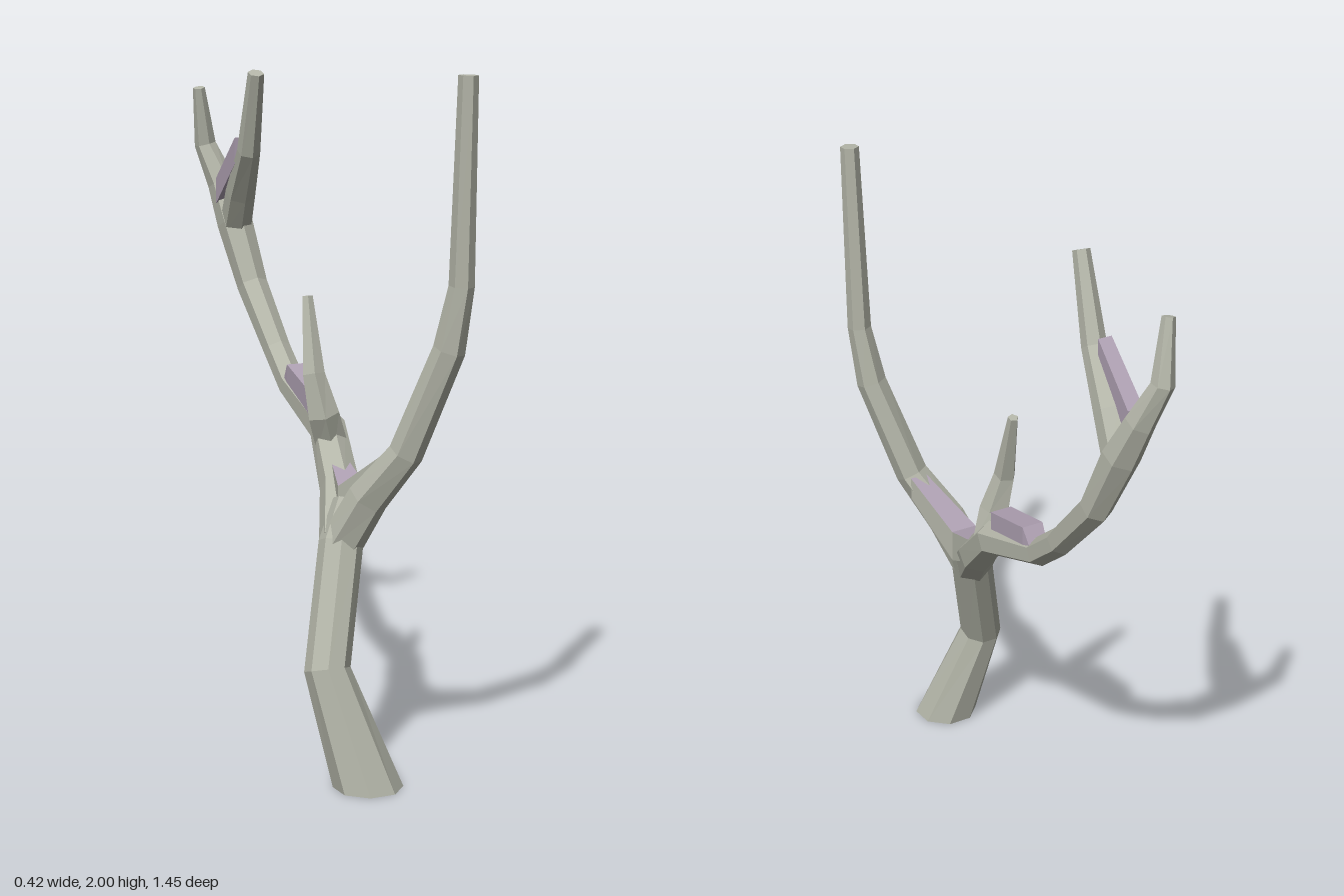
import * as THREE from 'three';

const bark = new THREE.MeshStandardMaterial({ color: 0xb3b5a8, side: THREE.DoubleSide, flatShading: true });
bark.name = 'bark grey';
const mauve = new THREE.MeshStandardMaterial({ color: 0xb0a2b4, side: THREE.DoubleSide, flatShading: true });
mauve.name = 'moss mauve';

// Limb lofted through rings; each point is [x, y, z, radius]
function limb(name, pts, sides, flatBase = false) {
  const P = pts.map(p => new THREE.Vector3(p[0], p[1], p[2]));
  const pos = [], idx = [];
  P.forEach((p, i) => {
    const a = P[Math.max(i - 1, 0)], b = P[Math.min(i + 1, P.length - 1)];
    const t = b.clone().sub(a).normalize();
    if (flatBase && i === 0) t.set(0, 1, 0);
    const u = new THREE.Vector3(1, 0, 0).addScaledVector(t, -t.x).normalize();
    const v = u.clone().cross(t);
    for (let k = 0; k < sides; k++) {
      const ang = ((k + 0.5) / sides) * Math.PI * 2;
      const q = p.clone()
        .addScaledVector(u, Math.cos(ang) * pts[i][3])
        .addScaledVector(v, Math.sin(ang) * pts[i][3]);
      pos.push(q.x, q.y, q.z);
    }
  });
  for (let i = 0; i < P.length - 1; i++) {
    for (let k = 0; k < sides; k++) {
      const a = i * sides + k, b = i * sides + (k + 1) % sides;
      idx.push(a, a + sides, b, b, a + sides, b + sides);
    }
  }
  // End caps
  const last = (P.length - 1) * sides;
  for (let k = 1; k < sides - 1; k++) {
    idx.push(0, k, k + 1, last, last + k + 1, last + k);
  }
  return build(name, pos, idx, bark);
}

// Ridge filling a crotch; each row is [x, y, z, halfWidth, depth]
function web(name, rows, sideMaterial) {
  const pos = [], top = [], side = [];
  for (const [x, y, z, w, d] of rows) {
    pos.push(x - w, y, z, x + w, y, z, x + w, y - d, z, x - w, y - d, z);
  }
  for (let i = 0; i < rows.length - 1; i++) {
    const a = i * 4, quad = (list, m, n) =>
      list.push(a + m, a + n, a + m + 4, a + n, a + n + 4, a + m + 4);
    quad(top, 0, 1);
    quad(side, 1, 2);
    quad(side, 2, 3);
    quad(side, 3, 0);
  }
  const e = (rows.length - 1) * 4;
  side.push(0, 2, 1, 0, 3, 2, e, e + 1, e + 2, e, e + 2, e + 3);
  const mesh = build(name, pos, [...top, ...side], [mauve, sideMaterial]);
  mesh.geometry.addGroup(0, top.length, 0);
  mesh.geometry.addGroup(top.length, side.length, 1);
  return mesh;
}

function build(name, pos, idx, material) {
  const g = new THREE.BufferGeometry();
  g.setAttribute('position', new THREE.Float32BufferAttribute(pos, 3));
  g.setIndex(idx);
  const flat = g.toNonIndexed();
  flat.computeVertexNormals();
  const mesh = new THREE.Mesh(flat, material);
  mesh.name = name;
  return mesh;
}

export function createModel() {
  const tree = new THREE.Group();
  tree.name = 'bareTree';
  tree.add(
    limb('trunk', [
      [-0.065, 0, 0.615, 0.1], [-0.15, 0.33, 0.525, 0.066],
      [-0.052, 0.66, 0.41, 0.064], [-0.005, 0.77, 0.375, 0.05],
    ], 8, true),
    limb('frontLimb', [
      [-0.05, 0.66, 0.41, 0.062], [0.0, 0.8, 0.475, 0.06], [0.07, 0.94, 0.57, 0.05],
      [0.155, 1.24, 0.66, 0.046], [0.178, 1.42, 0.685, 0.036], [0.182, 1.995, 0.702, 0.028],
    ], 6),
    limb('rearLimb', [
      [-0.05, 0.66, 0.4, 0.062], [0.025, 0.785, 0.245, 0.06], [0.065, 0.925, 0.08, 0.055],
      [0.08, 1.01, -0.2, 0.043], [0.085, 1.1, -0.32, 0.042], [0.078, 1.28, -0.49, 0.048],
      [0.058, 1.47, -0.58, 0.056], [0.04, 1.59, -0.64, 0.045],
      [0.005, 1.71, -0.69, 0.034], [-0.027, 1.89, -0.663, 0.019],
    ], 6),
    limb('upperTine', [
      [0.058, 1.46, -0.575, 0.05], [0.04, 1.57, -0.495, 0.047],
      [0.015, 1.71, -0.375, 0.036], [-0.003, 1.955, -0.278, 0.025],
    ], 6),
    limb('twig', [
      [0.06, 0.88, 0.12, 0.05], [0.02, 0.98, 0.145, 0.048],
      [-0.003, 1.1, 0.125, 0.034], [0.01, 1.32, 0.056, 0.016],
    ], 5),
    // Mauve-topped ridges in the crotches
    web('mainCrotch', [
      [0.07, 0.945, 0.525, 0.028, 0.07], [0.005, 0.815, 0.36, 0.042, 0.1],
      [0.045, 0.862, 0.19, 0.025, 0.07],
    ], bark),
    web('limbRidge', [
      [0.055, 1.03, 0.055, 0.035, 0.1], [0.078, 1.08, -0.16, 0.034, 0.08],
      [0.08, 1.03, -0.195, 0.03, 0.03],
    ], mauve),
    web('upperCrotch', [
      [0.01, 1.75, -0.42, 0.022, 0.08], [0.028, 1.61, -0.6, 0.025, 0.08],
    ], mauve),
  );
  return tree;
}
